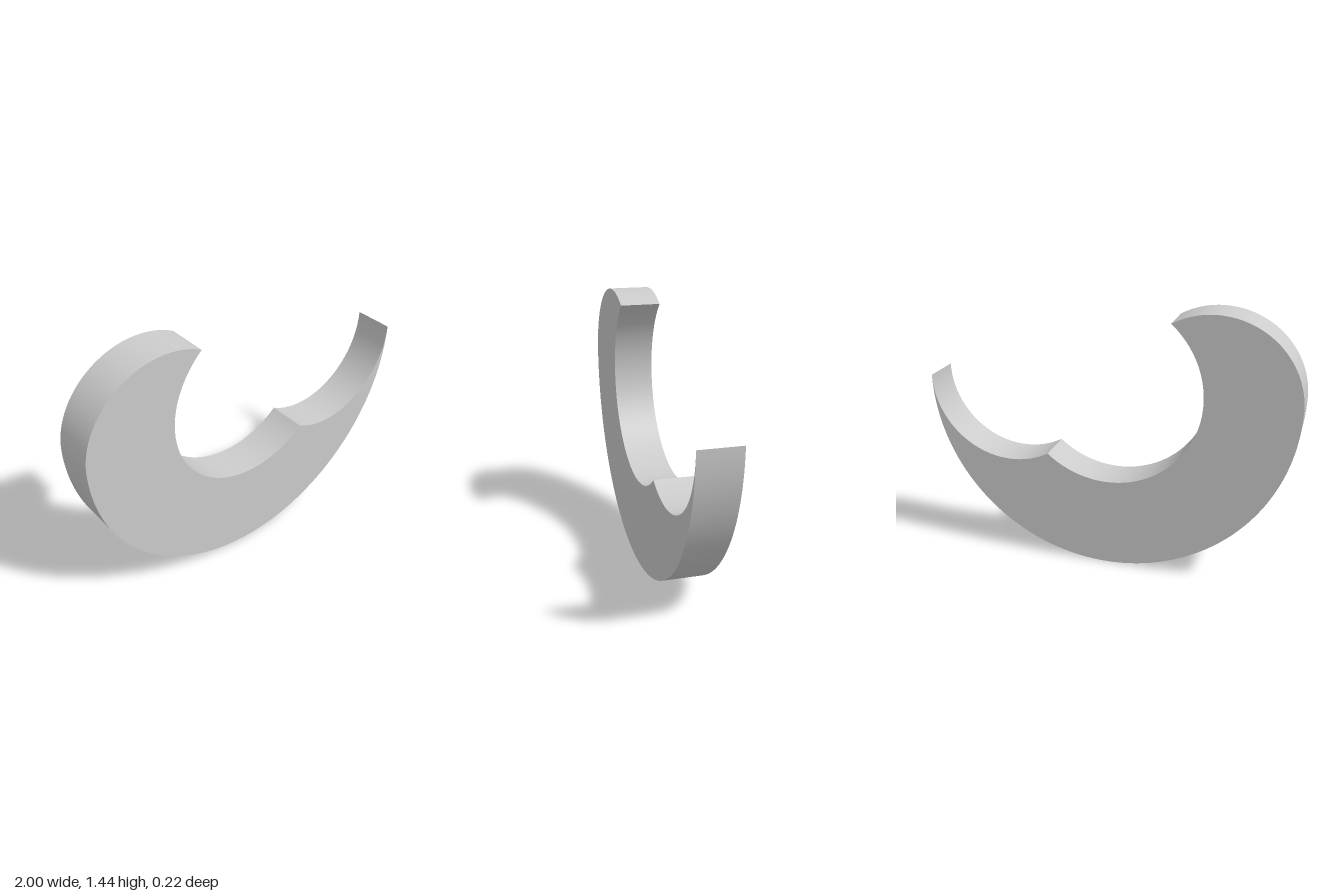
import * as THREE from 'three';
import { toCreasedNormals } from 'three/addons/utils/BufferGeometryUtils.js';

const DEPTH = 0.22;
const INNER = 0.51; // radius of the central cut-out
const LOBE = 0.445; // radius of the round end and of the matching scoop
const OFFSET = 1 - LOBE; // distance of the lobe centres from the middle

// Points along an arc centred at (cx, 1), leaving out the last one
function arc(cx, radius, from, to, steps) {
  return Array.from({ length: steps }, (_, i) => {
    const a = from + ((to - from) * i) / steps;
    return new THREE.Vector2(cx + radius * Math.cos(a), 1 + radius * Math.sin(a));
  });
}

export function createModel() {
  const group = new THREE.Group();
  group.name = 'crescent';

  // Where the lobe circles cross the central cut-out
  const x = (INNER ** 2 - LOBE ** 2 + OFFSET ** 2) / (2 * OFFSET);
  const y = Math.sqrt(INNER ** 2 - x ** 2);
  const lobeAngle = Math.atan2(y, OFFSET - x);
  const innerAngle = Math.atan2(y, -x);

  const outline = [
    ...arc(0, 1, 0, -Math.PI, 96), // large lower half circle
    ...arc(-OFFSET, LOBE, Math.PI, lobeAngle, 48), // round end
    ...arc(0, INNER, innerAngle, innerAngle + Math.PI, 72), // central cut-out
    ...arc(OFFSET, LOBE, lobeAngle - Math.PI, 0, 48), // scoop up to the tip
  ];

  const geometry = new THREE.ExtrudeGeometry(new THREE.Shape(outline), {
    depth: DEPTH,
    bevelEnabled: false,
  });
  geometry.translate(0, 0, -DEPTH / 2);

  const body = new THREE.Mesh(
    toCreasedNormals(geometry, Math.PI / 6),
    new THREE.MeshStandardMaterial({ color: 0xcccccc }),
  );
  body.name = 'crescentBody';
  group.add(body);
  return group;
}
